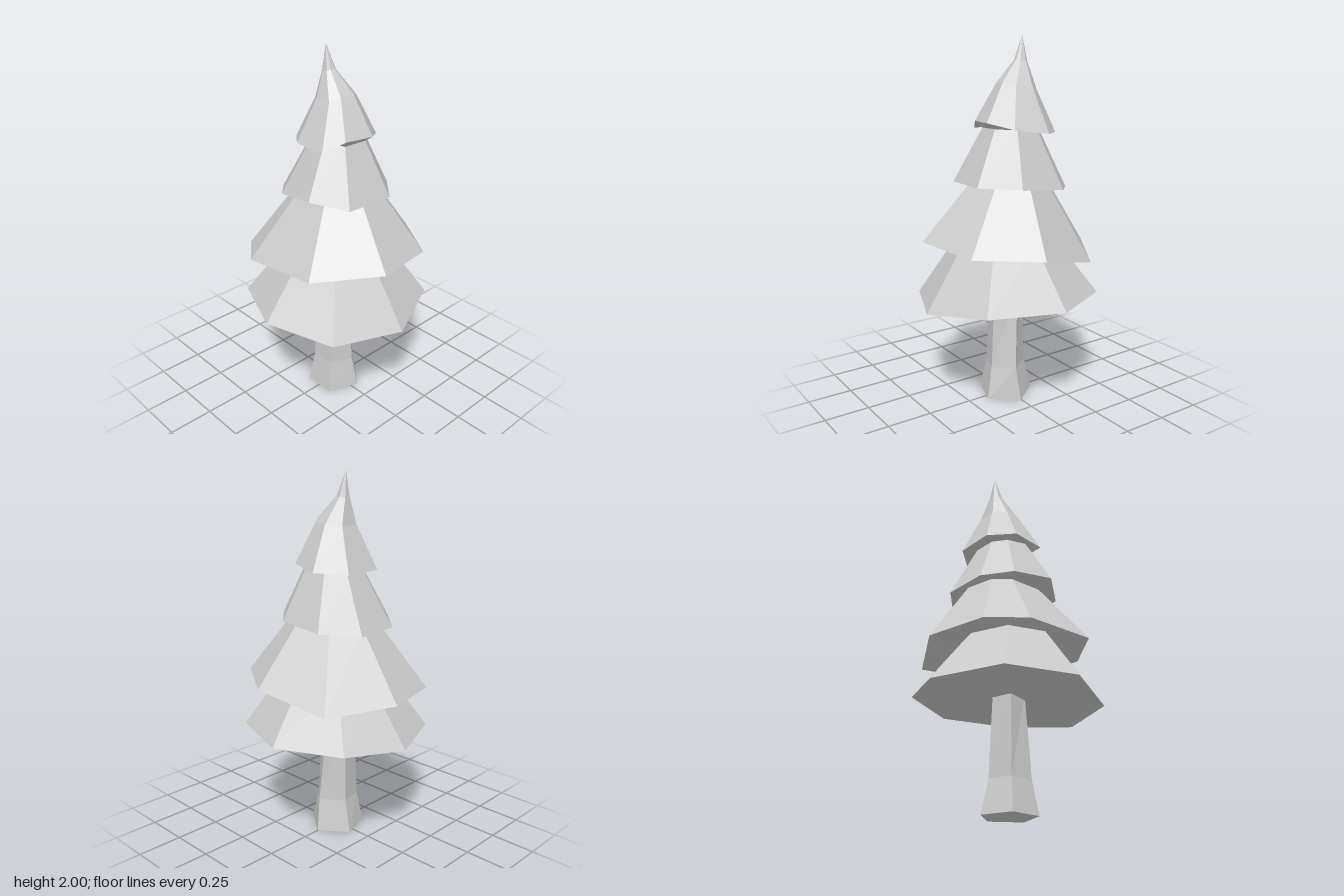
import * as THREE from 'three';

const material = new THREE.MeshStandardMaterial({ color: 0xcccccc, flatShading: true });

// Skin a stack of rings (bottom to top); a ring of one point closes to a tip.
function loft(name, rings) {
  const pos = [];
  const tri = (a, b, c) => pos.push(...a, ...b, ...c);
  for (let r = 0; r < rings.length - 1; r++) {
    const a = rings[r], b = rings[r + 1];
    const n = Math.max(a.length, b.length);
    for (let i = 0; i < n; i++) {
      const j = (i + 1) % n;
      if (a.length === 1) tri(a[0], b[i], b[j]);
      else if (b.length === 1) tri(a[i], b[0], a[j]);
      else {
        tri(a[i], b[i], a[j]);
        tri(b[i], b[j], a[j]);
      }
    }
  }
  const geo = new THREE.BufferGeometry();
  geo.setAttribute('position', new THREE.Float32BufferAttribute(pos, 3));
  geo.computeVertexNormals();
  const mesh = new THREE.Mesh(geo, material);
  mesh.name = name;
  return mesh;
}

// Copy of a ring, shrunk by k about its middle and moved to a new centre.
function shrink(ring, k, centre) {
  const mid = [0, 1, 2].map(c => ring.reduce((s, p) => s + p[c], 0) / ring.length);
  return ring.map(p => p.map((v, c) => centre[c] + (v - mid[c]) * k));
}

// Uneven octagonal rims, with the neck or bends above each one: [k, centre]
const tiers = [
  {
    name: 'bottomBranches',
    rim: [[0.5, 0.62, -0.03], [0.36, 0.62, 0.36], [0.01, 0.575, 0.51], [-0.355, 0.575, 0.36],
      [-0.5, 0.61, 0], [-0.355, 0.61, -0.36], [0.01, 0.6, -0.51], [0.335, 0.62, -0.38]],
    above: [[0.54, [0, 0.92, 0.01]]],
  },
  {
    name: 'lowerBranches',
    rim: [[0.485, 0.905, 0.09], [0.28, 0.915, 0.4], [-0.09, 0.94, 0.47], [-0.39, 0.91, 0.22],
      [-0.41, 0.87, -0.235], [-0.27, 0.86, -0.42], [0.06, 0.85, -0.49], [0.38, 0.815, -0.29]],
    above: [[0.47, [0.03, 1.23, -0.03]]],
  },
  {
    name: 'upperBranches',
    rim: [[0.295, 1.235, 0.1], [0.135, 1.24, 0.27], [-0.135, 1.235, 0.25], [-0.26, 1.27, 0.08],
      [-0.23, 1.23, -0.17], [-0.11, 1.2, -0.305], [0.13, 1.19, -0.31], [0.295, 1.21, -0.16]],
    above: [[0.5, [0.03, 1.52, -0.02]]],
  },
  {
    name: 'topBranches',
    rim: [[0.21, 1.53, 0.09], [0.09, 1.56, 0.18], [-0.07, 1.56, 0.15], [-0.175, 1.51, 0.09],
      [-0.175, 1.52, -0.1], [-0.07, 1.5, -0.23], [0.14, 1.495, -0.225], [0.26, 1.505, -0.09]],
    above: [[0.49, [0.035, 1.74, -0.03]], [0.16, [0.025, 1.87, -0.073]]],
  },
];

export function createModel() {
  const tree = new THREE.Group();
  tree.name = 'pineTree';

  // Five-sided trunk, flared at the foot and capped below
  tree.add(loft('trunk', [
    [[0, 0, 0]],
    [[0.15, 0, 0], [0.04, 0, 0.15], [-0.13, 0, 0.09], [-0.13, 0, -0.09], [0.04, 0, -0.145]],
    [[0.12, 0.18, 0.015], [0.025, 0.18, 0.115], [-0.1, 0.18, 0.07], [-0.1, 0.18, -0.07], [0.03, 0.18, -0.105]],
    [[0.09, 0.64, -0.015], [0.02, 0.64, 0.09], [-0.065, 0.64, 0.06], [-0.085, 0.64, -0.06], [0.02, 0.64, -0.09]],
  ]));

  // Branch tiers: underside from the neck below, out to the rim, up to the next neck
  let below = [[0, 0.61, 0]];
  tiers.forEach(({ name, rim, above }, t) => {
    const rings = [below, rim, ...above.map(([k, c]) => shrink(rim, k, c))];
    below = rings[rings.length - 1];
    if (t === tiers.length - 1) rings.push([[0.02, 2, -0.09]]);
    tree.add(loft(name, rings));
  });

  return tree;
}
